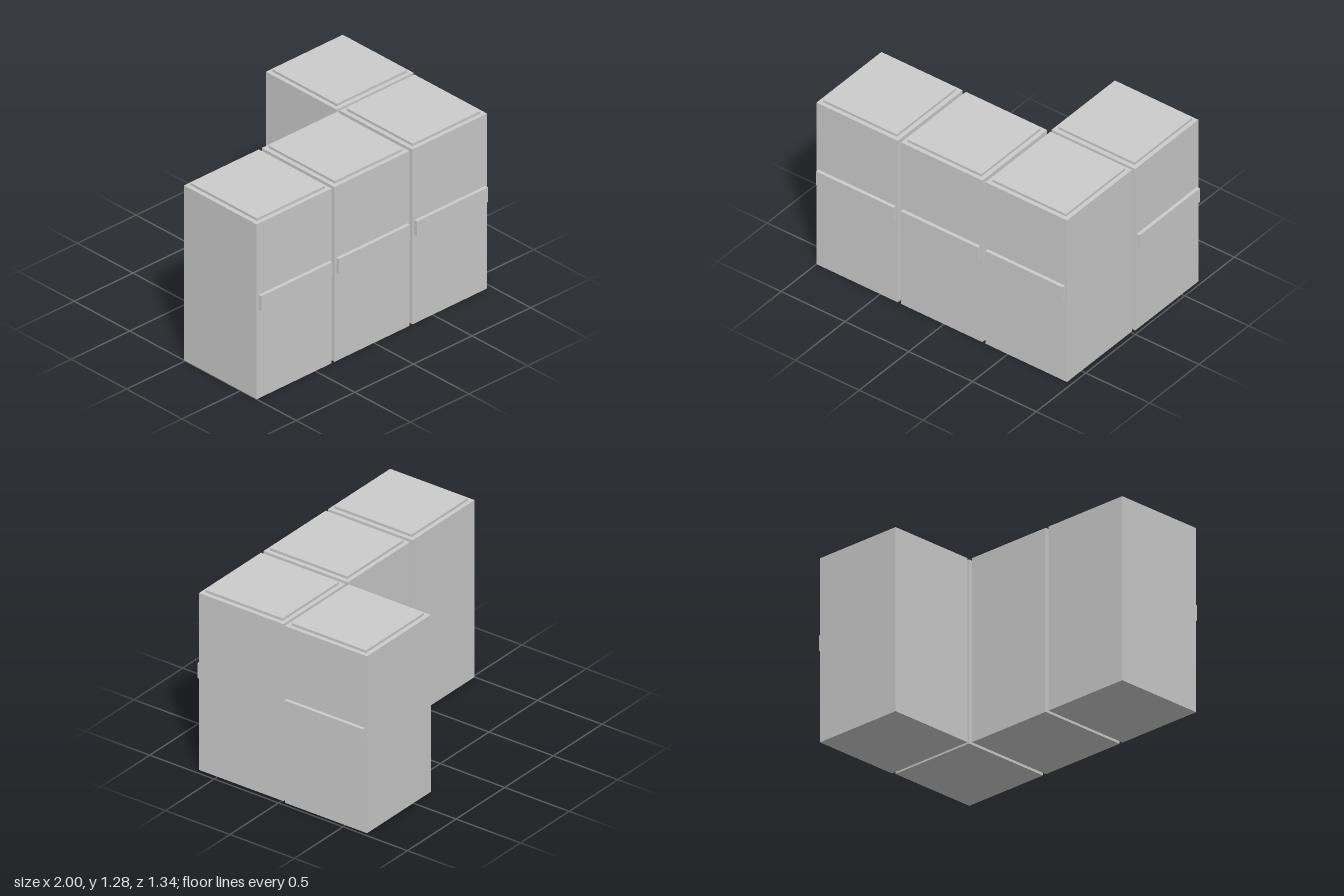
import * as THREE from 'three';

const WIDTH = 0.638, DEPTH = 0.655, HEIGHT = 1.258;

export function createModel() {
  const grey = new THREE.MeshStandardMaterial({ color: 0xcccccc });
  grey.name = 'cabinet grey';

  function box(name, w, h, d, x, y, z) {
    const mesh = new THREE.Mesh(new THREE.BoxGeometry(w, h, d), grey);
    mesh.name = name;
    mesh.position.set(x, y, z);
    return mesh;
  }

  // One cabinet facing +z: body, raised top panel and a wide front pull
  function cabinet(name, x, z, turn = 0) {
    const unit = new THREE.Group();
    unit.name = name;
    unit.add(
      box('body', WIDTH, HEIGHT, DEPTH, 0, HEIGHT / 2, 0),
      box('topPanel', 0.578, 0.018, 0.598, 0, HEIGHT + 0.009, 0),
      box('handle', 0.606, 0.106, 0.024, 0, 0.691, DEPTH / 2 + 0.012),
    );
    unit.position.set(x, 0, z);
    unit.rotation.y = turn;
    return unit;
  }

  const group = new THREE.Group();
  group.name = 'cornerCabinets';

  // Front row of three
  [-0.681, -0.018, 0.646].forEach((x, i) => {
    group.add(cabinet(`frontCabinet${i + 1}`, x, 0.317));
  });

  // Return cabinet behind the last one, turned to face +x
  group.add(cabinet('sideCabinet', 0.648, -0.349, Math.PI / 2));
  return group;
}
